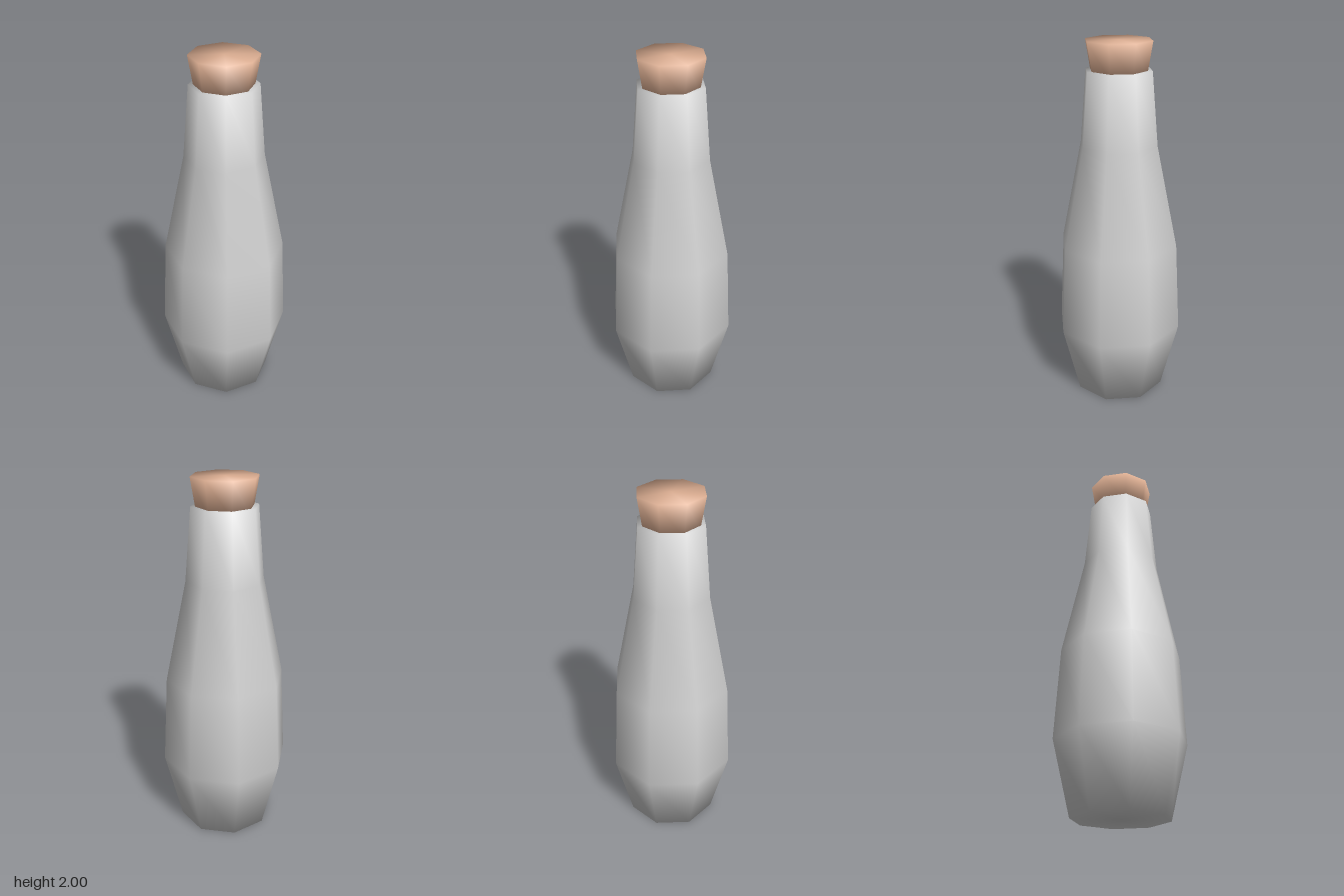
import * as THREE from 'three';

const SIDES = 8;

// Closed eight-sided turned shape from [radius, height] pairs, smooth shaded
function turned(name, profile, material) {
  const points = profile.map(([r, y]) => new THREE.Vector2(r, y));
  const mesh = new THREE.Mesh(new THREE.LatheGeometry(points, SIDES), material);
  mesh.name = name;
  return mesh;
}

export function createModel() {
  const glass = new THREE.MeshStandardMaterial({ color: 0xd4d4d4 });
  glass.name = 'pale grey glass';
  const corkTan = new THREE.MeshStandardMaterial({ color: 0xdcae92 });
  corkTan.name = 'cork tan';

  const model = new THREE.Group();
  model.name = 'corkedBottle';

  // Bottle: base, belly, shoulder, neck and rim
  model.add(turned('bottle', [
    [0, 0], [0.26, 0], [0.357, 0.4], [0.33, 0.9],
    [0.213, 1.46], [0.18, 1.85], [0, 1.85],
  ], glass));

  // Stopper: flares upward, its foot sunk slightly into the neck
  model.add(turned('stopper', [
    [0, 1.82], [0.15, 1.82], [0.18, 2], [0, 2],
  ], corkTan));

  return model;
}
